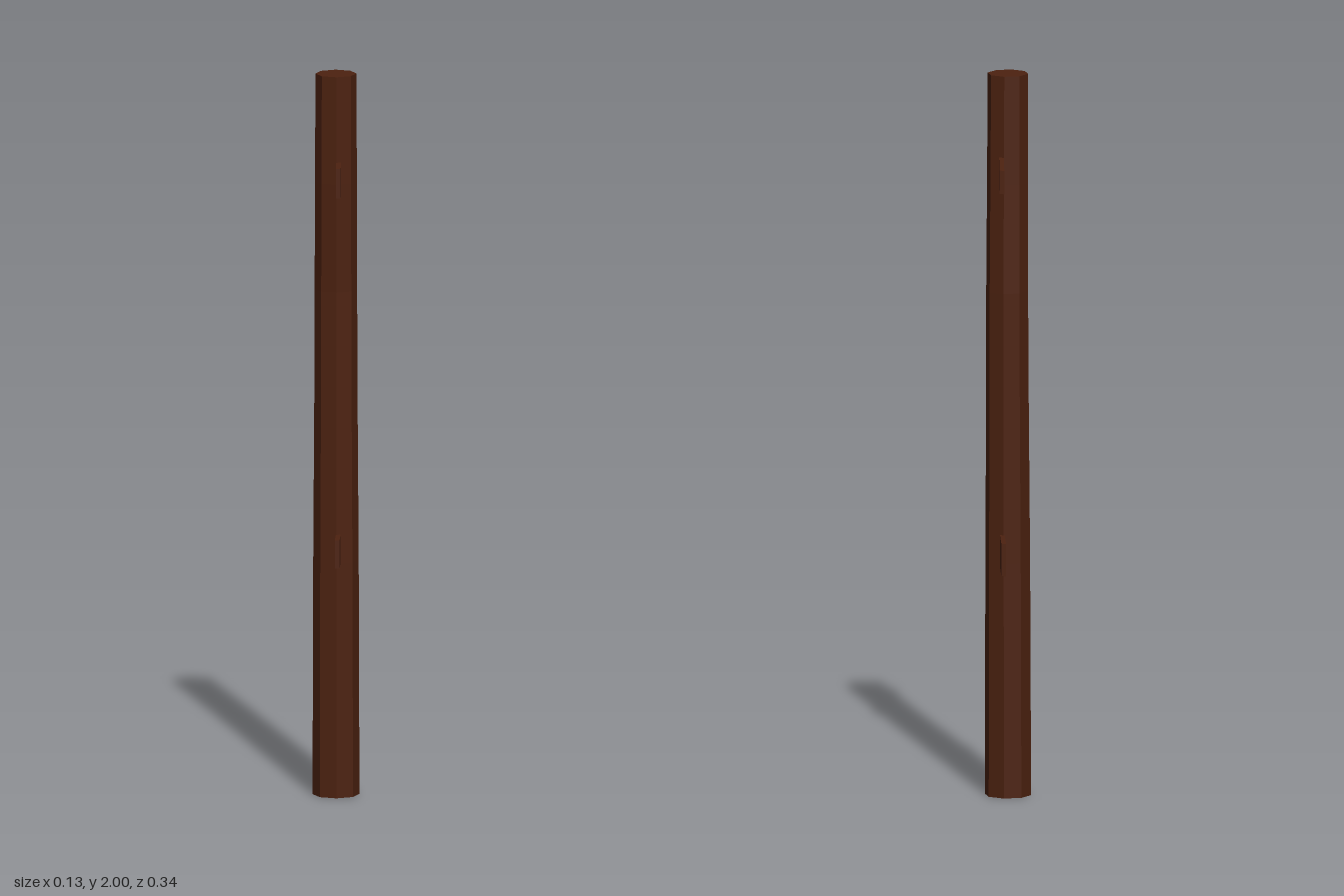
import * as THREE from 'three';

const wood = new THREE.MeshStandardMaterial({ color: 0x4d2210, flatShading: true });
wood.name = 'dark brown wood';

// Rings of the slightly bowed trunk: height, radius, z of the centre
const rings = [
  [0, 0.064, 0.025],
  [0.65, 0.062, 0.021],
  [1.1, 0.059, 0.016],
  [1.4, 0.058, 0.012],
  [1.7, 0.057, 0.019],
  [2, 0.056, 0.024],
];

function makePost() {
  const n = rings.length - 1;
  const geo = new THREE.CylinderGeometry(1, 1, n, 8, n);
  const p = geo.attributes.position;
  for (let i = 0; i < p.count; i++) {
    const [y, r, z] = rings[Math.round(p.getY(i) + n / 2)];
    p.setXYZ(i, p.getX(i) * r, y, p.getZ(i) * r + z);
  }
  geo.computeVertexNormals();
  const mesh = new THREE.Mesh(geo, wood);
  mesh.name = 'post';
  return mesh;
}

// Tapered slat between two upright ends, each given as [x, z, bottom, top]
function makeSlat(name, back, front, thickness) {
  const geo = new THREE.BoxGeometry(1, 1, 1);
  const p = geo.attributes.position;
  for (let i = 0; i < p.count; i++) {
    const [x, z, bottom, top] = p.getZ(i) > 0 ? front : back;
    p.setXYZ(i, x + p.getX(i) * thickness, p.getY(i) > 0 ? top : bottom, z);
  }
  geo.computeVertexNormals();
  const mesh = new THREE.Mesh(geo, wood);
  mesh.name = name;
  return mesh;
}

export function createModel() {
  const group = new THREE.Group();
  group.name = 'fence post';
  group.add(
    makePost(),
    // broken rail stubs
    makeSlat('upperBackRail', [-0.018, -0.168, 1.7, 1.765], [0.01, -0.02, 1.685, 1.777], 0.013),
    makeSlat('upperFrontRail', [0.006, 0.06, 1.68, 1.762], [0.003, 0.168, 1.68, 1.762], 0.013),
    makeSlat('lowerBackRail', [-0.022, -0.164, 0.64, 0.73], [0.008, -0.02, 0.64, 0.73], 0.013),
    makeSlat('lowerFrontRail', [0.006, 0.06, 0.652, 0.73], [0, 0.159, 0.652, 0.73], 0.013),
  );
  return group;
}
